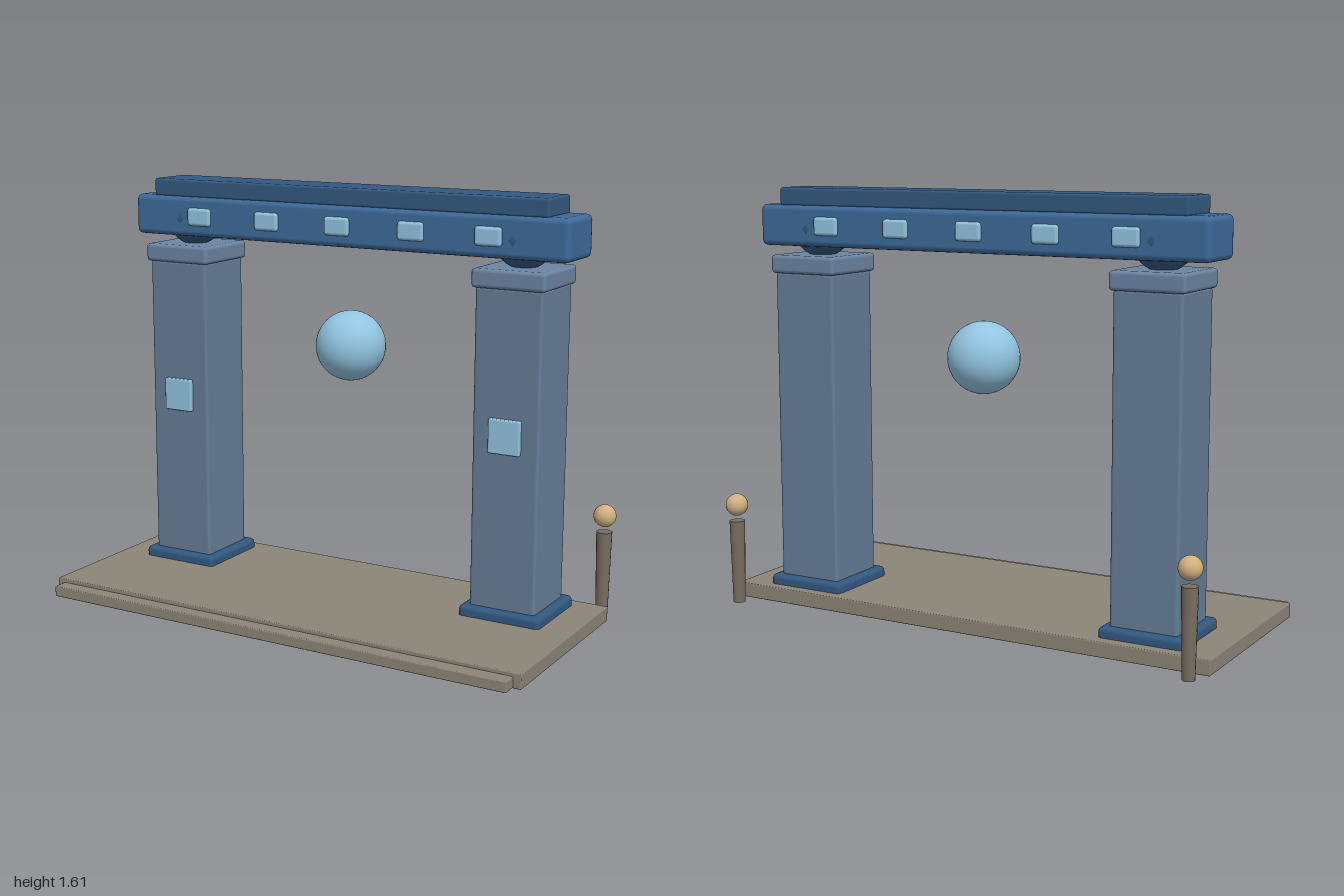
import * as THREE from 'three';
import { RoundedBoxGeometry } from 'three/addons/geometries/RoundedBoxGeometry.js';

const mat = (color) => new THREE.MeshStandardMaterial({ color });
const M = {
  stone: mat(0x8c8478), pillar: mat(0x667d98), cap: mat(0x6c84a2),
  beam: mat(0x3f6a9a), darkBlue: mat(0x33587f), glow: mat(0x92c4e0),
  post: mat(0x786e61), gold: mat(0xd0b080),
};
const GATE_Z = -0.165;

export function createModel() {
  const model = new THREE.Group();
  model.name = 'gate';

  const add = (name, geometry, material, x, y, z) => {
    const mesh = new THREE.Mesh(geometry, material);
    mesh.name = name;
    mesh.position.set(x, y, z);
    model.add(mesh);
    return mesh;
  };
  // Box given by its extents, with softened edges of radius r
  const block = (name, material, [x0, x1], [y0, y1], [z0, z1], r) => add(
    name, new RoundedBoxGeometry(x1 - x0, y1 - y0, z1 - z0, 2, r), material,
    (x0 + x1) / 2, (y0 + y1) / 2, (z0 + z1) / 2);

  // Platform with a low step in front
  block('platform', M.stone, [-1, 1], [0.005, 0.062], [-0.372, 0.418], 0.004);
  block('frontStep', M.stone, [-0.97, 0.97], [0.007, 0.048], [0.3, 0.475], 0.004);

  for (const s of [-1, 1]) {
    const side = s > 0 ? 'left' : 'right';
    const cx = s * 0.715;
    const span = (half) => [cx - half, cx + half];
    const depth = (half) => [GATE_Z - half, GATE_Z + half];

    // Pillar with plinth, cap and a glowing front plate
    block(side + 'Plinth', M.darkBlue, span(0.163), [0.006, 0.1], depth(0.163), 0.018);
    block(side + 'Pillar', M.pillar, span(0.131), [0, 1.29], depth(0.131), 0.012);
    block(side + 'Cap', M.cap, span(0.144), [1.285, 1.355], depth(0.144), 0.014);
    block(side + 'PillarPlate', M.glow, span(0.062), [0.69, 0.818], [-0.05, -0.016], 0.005);

    // Ball joint between cap and beam
    add(side + 'Joint', new THREE.SphereGeometry(0.112, 24, 16), M.darkBlue, cx, 1.455, GATE_Z);

    // Lamp post behind the platform corner, with a floating ball
    add(side + 'LampPost', new THREE.CylinderGeometry(0.03, 0.023, 0.325, 16), M.post,
      s * 0.95, 0.168, -0.438);
    add(side + 'LampBall', new THREE.SphereGeometry(0.043, 24, 16), M.gold,
      s * 0.95, 0.393, -0.438);
  }

  // Lintel and the thinner bar on top
  block('beam', M.beam, [-0.93, 0.93], [1.388, 1.545], [-0.275, -0.055], 0.022);
  block('topBar', M.darkBlue, [-0.845, 0.845], [1.54, 1.61], [-0.262, -0.068], 0.01);

  // Glowing studs, running through the beam to both faces
  for (let i = -2; i <= 2; i++) {
    const x = i * 0.311;
    block('beamStud', M.glow, [x - 0.053, x + 0.053], [1.432, 1.502], [-0.287, -0.043], 0.012);
  }

  // Floating orb between the pillars
  add('orb', new THREE.SphereGeometry(0.135, 40, 28), M.glow, 0, 1, GATE_Z);

  return model;
}
